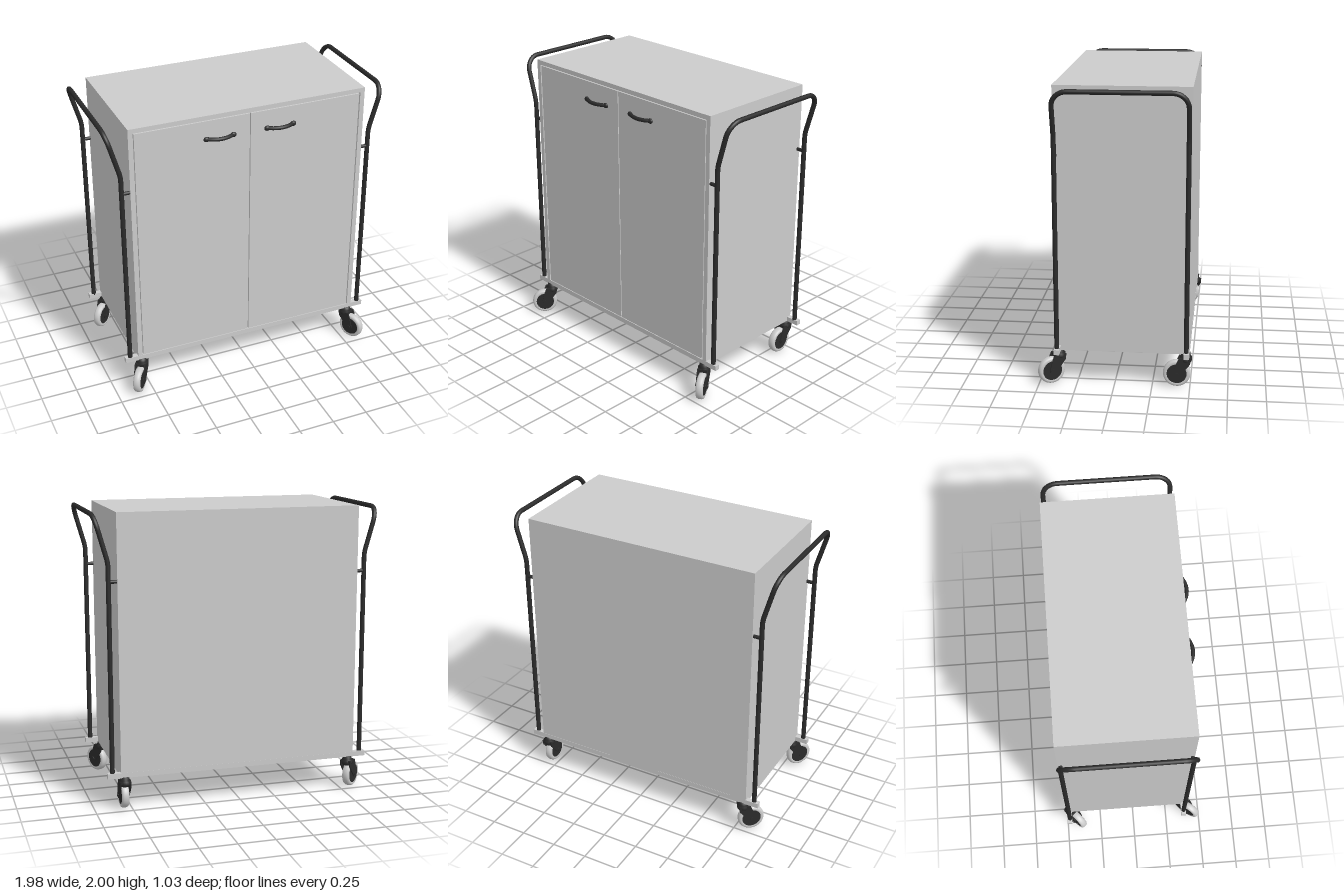
import * as THREE from 'three';

const grey = new THREE.MeshStandardMaterial({ color: 0xcccccc });
const black = new THREE.MeshStandardMaterial({ color: 0x2b2b2b });
const tyreGrey = new THREE.MeshStandardMaterial({ color: 0xe6e6e6 });

const V = (x, y, z) => new THREE.Vector3(x, y, z);
const FRONT = 0.388, BACK = -0.495, BOTTOM = 0.235, TOP = 2;
const POST_Z = [0.373, -0.476];

function add(parent, name, geometry, material) {
  const mesh = new THREE.Mesh(geometry, material);
  mesh.name = name;
  parent.add(mesh);
  return mesh;
}

// Box given by its two extreme corners
function boxBetween(parent, name, [x0, y0, z0], [x1, y1, z1], material = grey) {
  const m = add(parent, name, new THREE.BoxGeometry(x1 - x0, y1 - y0, z1 - z0), material);
  m.position.set((x0 + x1) / 2, (y0 + y1) / 2, (z0 + z1) / 2);
  return m;
}

// Path of straight runs joined by rounded corners
function roundedPath(points, radii) {
  const path = new THREE.CurvePath();
  let start = points[0];
  for (let i = 1; i < points.length - 1; i++) {
    const p = points[i];
    const a = p.clone().add(points[i - 1].clone().sub(p).setLength(radii[i - 1]));
    const b = p.clone().add(points[i + 1].clone().sub(p).setLength(radii[i - 1]));
    path.add(new THREE.LineCurve3(start, a));
    // cubic handles at 0.55 make a near-circular bend
    path.add(new THREE.CubicBezierCurve3(a, a.clone().lerp(p, 0.55), b.clone().lerp(p, 0.55), b));
    start = b;
  }
  path.add(new THREE.LineCurve3(start, points[points.length - 1]));
  return path;
}

function createCabinet() {
  const g = new THREE.Group();
  g.name = 'cabinet';
  const inner = FRONT - 0.02;
  boxBetween(g, 'cabinetBody', [-0.83, BOTTOM, BACK], [0.83, TOP, inner]);

  // Front frame around the door opening
  const frame = new THREE.Shape();
  frame.moveTo(-0.83, BOTTOM).lineTo(0.83, BOTTOM).lineTo(0.83, TOP).lineTo(-0.83, TOP).closePath();
  const hole = new THREE.Path();
  hole.moveTo(-0.798, 0.268).lineTo(-0.798, 1.969).lineTo(0.798, 1.969).lineTo(0.798, 0.268).closePath();
  frame.holes.push(hole);
  add(g, 'doorFrame', new THREE.ExtrudeGeometry(frame, { depth: 0.02, bevelEnabled: false }), grey).position.z = inner;

  for (const s of [-1, 1]) {
    // Flush doors with narrow gaps all round
    const xs = [s * 0.003, s * 0.791].sort((a, b) => a - b);
    boxBetween(g, 'door', [xs[0], 0.27, inner], [xs[1], 1.962, FRONT - 0.002]);

    // Bowed door pull, thicker towards its ends
    const curve = new THREE.QuadraticBezierCurve3(V(-0.105, 0, -0.01), V(0, 0, 0.07), V(0.105, 0, -0.01));
    const pull = new THREE.Group();
    pull.name = 'doorPull';
    pull.position.set(s * 0.213, 1.835, FRONT);
    add(pull, 'pullBar', new THREE.TubeGeometry(curve, 24, 0.013, 12), black);
    for (const e of [-1, 1]) {
      const end = add(pull, 'pullEnd', new THREE.SphereGeometry(0.018, 16, 12), black);
      end.position.set(e * 0.093, 0, 0);
      end.scale.set(1.2, 1, 0.8);
    }
    g.add(pull);
  }
  return g;
}

// Bent tube handle on one end of the trolley
function createPushHandle(side) {
  const g = new THREE.Group();
  g.name = 'pushHandle';
  const [zf, zb] = POST_Z;
  const x = side * 0.885, xt = side * 0.972;
  const path = roundedPath([
    V(x, 0.26, zf), V(x, 1.675, zf), V(xt, 1.982, zf),
    V(xt, 1.982, zb), V(x, 1.675, zb), V(x, 0.26, zb),
  ], [0.03, 0.1, 0.1, 0.03]);
  add(g, 'handleTube', new THREE.TubeGeometry(path, 220, 0.016, 14), black);
  for (const z of POST_Z) {
    const stay = add(g, 'handleStay', new THREE.CylinderGeometry(0.012, 0.012, 0.07, 14), black);
    stay.rotation.z = Math.PI / 2;
    stay.position.set(side * 0.855, 1.553, z);
  }
  return g;
}

// Swivel caster; the wheel trails along local +z
function createCaster() {
  const g = new THREE.Group();
  g.name = 'caster';
  const R = 0.092, trail = 0.058;

  const swivel = new THREE.LatheGeometry([
    [0, 0.17], [0.034, 0.17], [0.042, 0.185], [0.042, 0.205], [0.032, 0.212], [0.032, 0.237], [0, 0.237],
  ].map(p => new THREE.Vector2(...p)), 24);
  add(g, 'swivelHead', swivel, black);

  // Fork cheeks, drawn in the (z, y) plane
  const cheek = new THREE.Shape();
  cheek.moveTo(-0.036, 0.205).lineTo(-0.03, 0.165).lineTo(trail - 0.023, 0.085);
  cheek.absarc(trail, R, 0.023, Math.PI * 1.1, Math.PI * 2.1, false);
  cheek.lineTo(0.06, 0.17).lineTo(0.045, 0.205).closePath();
  for (const s of [-1, 1]) {
    const geo = new THREE.ExtrudeGeometry(cheek, { depth: 0.008, bevelEnabled: false, curveSegments: 12 });
    geo.rotateY(-Math.PI / 2);
    add(g, 'forkCheek', geo, black).position.x = s * 0.034 + 0.004;
  }
  boxBetween(g, 'forkBridge', [-0.038, 0.19, -0.034], [0.038, 0.205, 0.045], black);

  // Wheel with rounded tread and dark hub
  const wheel = new THREE.Group();
  wheel.name = 'wheel';
  wheel.position.set(0, R, trail);
  wheel.rotation.z = Math.PI / 2;
  const tread = new THREE.LatheGeometry([
    [0.066, -0.024], [0.076, -0.026], [0.086, -0.022], [0.091, -0.012], [R, 0],
    [0.091, 0.012], [0.086, 0.022], [0.076, 0.026], [0.066, 0.024],
  ].map(p => new THREE.Vector2(...p)), 40);
  add(wheel, 'tyre', tread, tyreGrey);
  add(wheel, 'wheelHub', new THREE.CylinderGeometry(0.072, 0.072, 0.046, 40), black);
  add(wheel, 'axle', new THREE.CylinderGeometry(0.013, 0.013, 0.086, 16), black);
  g.add(wheel);
  return g;
}

export function createModel() {
  const model = new THREE.Group();
  model.name = 'cabinetTrolley';
  model.add(createCabinet());

  // Cross rails carrying the handle posts
  boxBetween(model, 'frontRail', [-0.92, BOTTOM - 0.002, FRONT - 0.034], [0.92, 0.268, FRONT + 0.001]);
  boxBetween(model, 'backRail', [-0.92, BOTTOM - 0.002, BACK - 0.001], [0.92, 0.268, BACK + 0.034]);

  for (const side of [-1, 1]) model.add(createPushHandle(side));

  // Casters: pivot x, pivot z, swivel direction x, z
  for (const [x, z, dx, dz] of [
    [-0.8, 0.37, -0.09, 0.12],
    [0.8, 0.37, 0.065, 0.115],
    [-0.8, -0.47, -0.105, 0.095],
    [0.8, -0.47, 0, 1],
  ]) {
    const caster = createCaster();
    caster.position.set(x, 0, z);
    caster.rotation.y = Math.atan2(dx, dz);
    model.add(caster);
  }
  return model;
}
